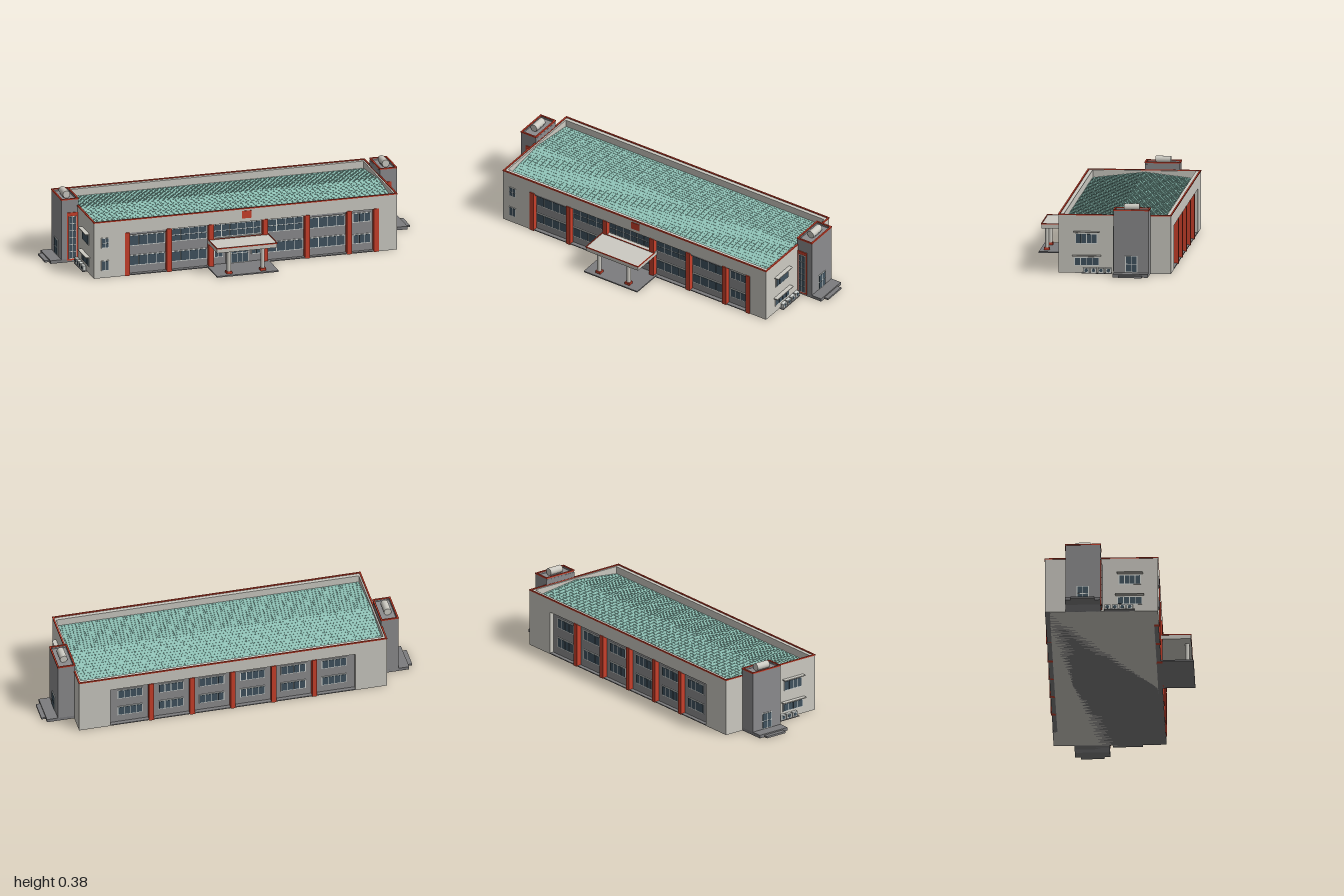
import * as THREE from 'three';

const mat = (name, color) => {
  const m = new THREE.MeshStandardMaterial({ color });
  m.name = name;
  return m;
};

export function createModel() {
  const wall = mat('wall', 0xcccac2), grey = mat('grey', 0x8c8c8e), red = mat('red', 0xc9402b);
  const roofTeal = mat('roofTeal', 0x92c6ba), glass = mat('glass', 0x41535f);
  const frame = mat('frame', 0xd3d7d4), slab = mat('slab', 0x7c7c7e);
  const model = new THREE.Group();
  model.name = 'building';

  const add = (parent, name, geo, m, x = 0, y = 0, z = 0) => {
    const mesh = new THREE.Mesh(geo, m);
    mesh.name = name;
    mesh.position.set(x, y, z);
    parent.add(mesh);
    return mesh;
  };
  // box given by its limits
  const box = (parent, name, m, x0, x1, y0, y1, z0, z1) =>
    add(parent, name, new THREE.BoxGeometry(x1 - x0, y1 - y0, z1 - z0), m,
      (x0 + x1) / 2, (y0 + y1) / 2, (z0 + z1) / 2);
  // four bars around a rectangle, inside its limits
  const rim = (parent, name, m, x0, x1, y0, y1, z0, z1, t) => {
    box(parent, name, m, x0, x1, y0, y1, z1 - t, z1);
    box(parent, name, m, x0, x1, y0, y1, z0, z0 + t);
    box(parent, name, m, x0, x0 + t, y0, y1, z0 + t, z1 - t);
    box(parent, name, m, x1 - t, x1, y0, y1, z0 + t, z1 - t);
  };
  // window with panes, facing +z, then turned
  const windowAt = (parent, name, x, y, z, w, h, cols, rows = 1, turn = 0) => {
    const g = new THREE.Group();
    g.name = name;
    g.position.set(x, y, z);
    g.rotation.y = turn;
    parent.add(g);
    box(g, 'windowFrame', frame, -w / 2, w / 2, -h / 2, h / 2, -0.002, 0.003);
    const b = 0.004, pw = (w - b) / cols, ph = (h - b) / rows;
    for (let i = 0; i < cols; i++) for (let j = 0; j < rows; j++) {
      const px = -w / 2 + b + i * pw, py = -h / 2 + b + j * ph;
      box(g, 'pane', glass, px, px + pw - b, py, py + ph - b, 0, 0.0045);
    }
    return g;
  };

  // main hall
  const hall = new THREE.Group();
  hall.name = 'hall';
  model.add(hall);
  const X = 0.83, F = 0.214, B = -0.379, D = 0.025, bayTop = 0.235;
  box(hall, 'core', wall, -X, X, 0, 0.262, B + D, F - D);
  box(hall, 'plinth', slab, -X + 0.001, X - 0.001, 0, 0.005, B + 0.001, F - 0.001);
  for (const [z0, z1, x0, x1] of [[F - D, F, -0.66, 0.725], [B, B + D, -0.66, 0.66]]) {
    box(hall, 'sideWall', wall, -X, x0, 0, 0.306, z0, z1);
    box(hall, 'sideWall', wall, x1, X, 0, 0.306, z0, z1);
    box(hall, 'header', wall, x0, x1, bayTop, 0.306, z0, z1);
  }
  box(hall, 'frontPanel', grey, -0.66, 0.725, 0, bayTop, F - D - 0.001, F - D + 0.002);
  box(hall, 'backPanel', grey, -0.66, 0.66, 0, bayTop, B + D - 0.002, B + D + 0.001);
  for (const s of [-1, 1])
    box(hall, 'endParapet', wall, Math.min(s * X, s * (X - 0.014)), Math.max(s * X, s * (X - 0.014)),
      0.262, 0.306, B + D, F - D);
  rim(hall, 'roofTrim', red, -X - 0.002, X + 0.002, 0.305, 0.311, B - 0.002, F + 0.002, 0.008);

  // gabled roof with seams and tile courses
  const zm = (F + B) / 2, eave = 0.264, ridge = 0.298, half = (F - B) / 2 - 0.008;
  const gable = new THREE.Shape();
  gable.moveTo(-half, eave - 0.01);
  gable.lineTo(half, eave - 0.01);
  gable.lineTo(half, eave);
  gable.lineTo(0, ridge);
  gable.lineTo(-half, eave);
  const rx = X - 0.012;
  const gableGeo = new THREE.ExtrudeGeometry(gable, { depth: 2 * rx, bevelEnabled: false });
  add(hall, 'roof', gableGeo.rotateY(Math.PI / 2), roofTeal, -rx, 0, zm);
  const slope = Math.atan2(ridge - eave, half), len = Math.hypot(half, ridge - eave);
  for (const s of [-1, 1]) {
    const g = new THREE.Group();
    g.name = 'roofSlope';
    g.position.set(0, (eave + ridge) / 2, zm + s * half / 2);
    g.rotation.x = s * slope;
    hall.add(g);
    for (let i = 0; i < 55; i++) {
      const x = -rx + 0.015 + i * (2 * rx - 0.03) / 54;
      box(g, 'roofSeam', roofTeal, x - 0.002, x + 0.002, -0.001, 0.0015, -len / 2, len / 2);
    }
    for (let j = 0; j < 14; j++) {
      const z = -len / 2 + (j + 0.5) * len / 14;
      box(g, 'tileCourse', roofTeal, -rx, rx, -0.001, 0.001, z - 0.0015, z + 0.0015);
    }
  }

  // front bays
  const zf = F - D + 0.003;
  const frontColumns = [-0.648, -0.418, -0.188, 0.108, 0.338, 0.568, 0.715];
  frontColumns.forEach(x => box(hall, 'frontColumn', red, x - 0.013, x + 0.013, 0, 0.238, F - D, F + 0.005));
  for (let i = 0; i < 6; i++) {
    const a = frontColumns[i] + 0.016, b = frontColumns[i + 1] - 0.016, c = (a + b) / 2, w = b - a;
    if (i === 5) {
      windowAt(hall, 'upperWindow', c, 0.19, zf, w - 0.016, 0.052, 3);
      windowAt(hall, 'lowerWindow', c, 0.072, zf, w - 0.016, 0.052, 3);
      continue;
    }
    const plain = i === 0 || i === 4;
    windowAt(hall, 'upperWindow', c, plain ? 0.185 : 0.193, zf, w, plain ? 0.06 : 0.072, i === 2 ? 6 : 4, plain ? 1 : 2);
    if (plain) box(hall, 'bayLintel', grey, a, b, 0.222, 0.235, zf, F - 0.005);
    if (i !== 2) windowAt(hall, 'lowerWindow', c, 0.075, zf, w, 0.058, 4);
  }
  windowAt(hall, 'entranceDoor', -0.04, 0.06, zf, 0.125, 0.107, 4, 2);
  for (const x of [-0.142, 0.062]) windowAt(hall, 'entranceSideWindow', x, 0.075, zf, 0.05, 0.058, 2);
  for (const y of [0.068, 0.193]) windowAt(hall, 'cornerWindow', -0.77, y, F, 0.042, 0.056, 2, y > 0.1 ? 2 : 1);
  box(hall, 'redPlaque', red, -0.02, 0.032, 0.255, 0.296, F - 0.001, F + 0.003);

  // back bays
  for (let i = 0; i < 6; i++) {
    const c = (i - 2.5) * 0.22;
    for (const y of [0.075, 0.183])
      windowAt(hall, 'backWindow', c, y, B + D - 0.003, 0.135, 0.055, 4, 1, Math.PI);
    if (i < 5) box(hall, 'backColumn', red, c + 0.097, c + 0.123, 0, 0.238, B - 0.004, B + D);
  }

  // entrance porch
  const porch = new THREE.Group();
  porch.name = 'porch';
  model.add(porch);
  box(porch, 'porchFloor', slab, -0.207, 0.13, 0, 0.007, F - D, 0.384);
  box(porch, 'canopy', wall, -0.203, 0.126, 0.13, 0.153, F - D, 0.37);
  rim(porch, 'canopyTrim', red, -0.205, 0.128, 0.151, 0.157, F, 0.372, 0.004);
  for (const x of [-0.133, 0.052]) {
    add(porch, 'porchColumn', new THREE.CylinderGeometry(0.0115, 0.0115, 0.112, 24), wall, x, 0.075, 0.348);
    box(porch, 'columnBase', red, x - 0.015, x + 0.015, 0.006, 0.02, 0.333, 0.363);
  }

  // both ends: stair tower, side windows, cooling units
  for (const s of [-1, 1]) {
    const end = new THREE.Group();
    end.name = s > 0 ? 'leftEnd' : 'rightEnd';
    model.add(end);
    const sideBox = (name, m, x0, x1, ...r) =>
      box(end, name, m, Math.min(s * x0, s * x1), Math.max(s * x0, s * x1), ...r);
    const turn = s * Math.PI / 2;

    sideBox('tower', grey, 0.825, 0.918, 0, 0.338, -0.27, -0.085);
    const tx = [s * 0.826, s * 0.918].sort((p, q) => p - q);
    rim(end, 'towerParapet', grey, tx[0], tx[1], 0.338, 0.346, -0.27, -0.085, 0.008);
    rim(end, 'towerTrim', red, tx[0] - 0.002, tx[1] + 0.002, 0.344, 0.351, -0.272, -0.083, 0.008);
    add(end, 'waterTank', new THREE.CylinderGeometry(0.02, 0.02, 0.08, 28).rotateX(Math.PI / 2),
      wall, s * 0.874, 0.357, -0.178);
    sideBox('tankStand', grey, 0.86, 0.888, 0.336, 0.342, -0.21, -0.146);

    // tall red-framed tower window
    sideBox('towerWindowSurround', red, 0.83, 0.888, 0.01, 0.274, -0.086, -0.081);
    windowAt(end, 'towerWindow', s * 0.859, 0.137, -0.081, 0.042, 0.235, 2, 6);

    // door, landing and step
    windowAt(end, 'towerDoor', s * 0.918, 0.063, -0.178, 0.065, 0.088, 2, 2, turn);
    sideBox('landing', slab, 0.83, 0.977, 0, 0.017, -0.27, -0.085);
    sideBox('step', slab, 0.977, 1, 0, 0.01, -0.24, -0.116);

    // side windows with awnings
    windowAt(end, 'upperSideWindow', s * X, 0.182, 0.066, 0.116, 0.055, 4, 1, turn);
    windowAt(end, 'lowerSideWindow', s * X, 0.061, 0.065, 0.132, 0.045, 4, 1, turn);
    sideBox('upperAwning', wall, X - 0.002, 0.853, 0.216, 0.221, -0.002, 0.134);
    sideBox('lowerAwning', wall, X - 0.002, 0.853, 0.09, 0.095, -0.01, 0.141);

    // row of cooling units
    sideBox('unitPad', slab, X - 0.002, 0.856, 0, 0.004, -0.068, 0.09);
    for (let i = 0; i < 4; i++) {
      const z = 0.066 - i * 0.039;
      sideBox('coolingUnit', frame, 0.834, 0.852, 0.004, 0.03, z - 0.016, z + 0.016);
      add(end, 'unitFan', new THREE.CylinderGeometry(0.009, 0.009, 0.003, 20).rotateZ(Math.PI / 2),
        glass, s * 0.852, 0.017, z);
    }
  }
  return model;
}
